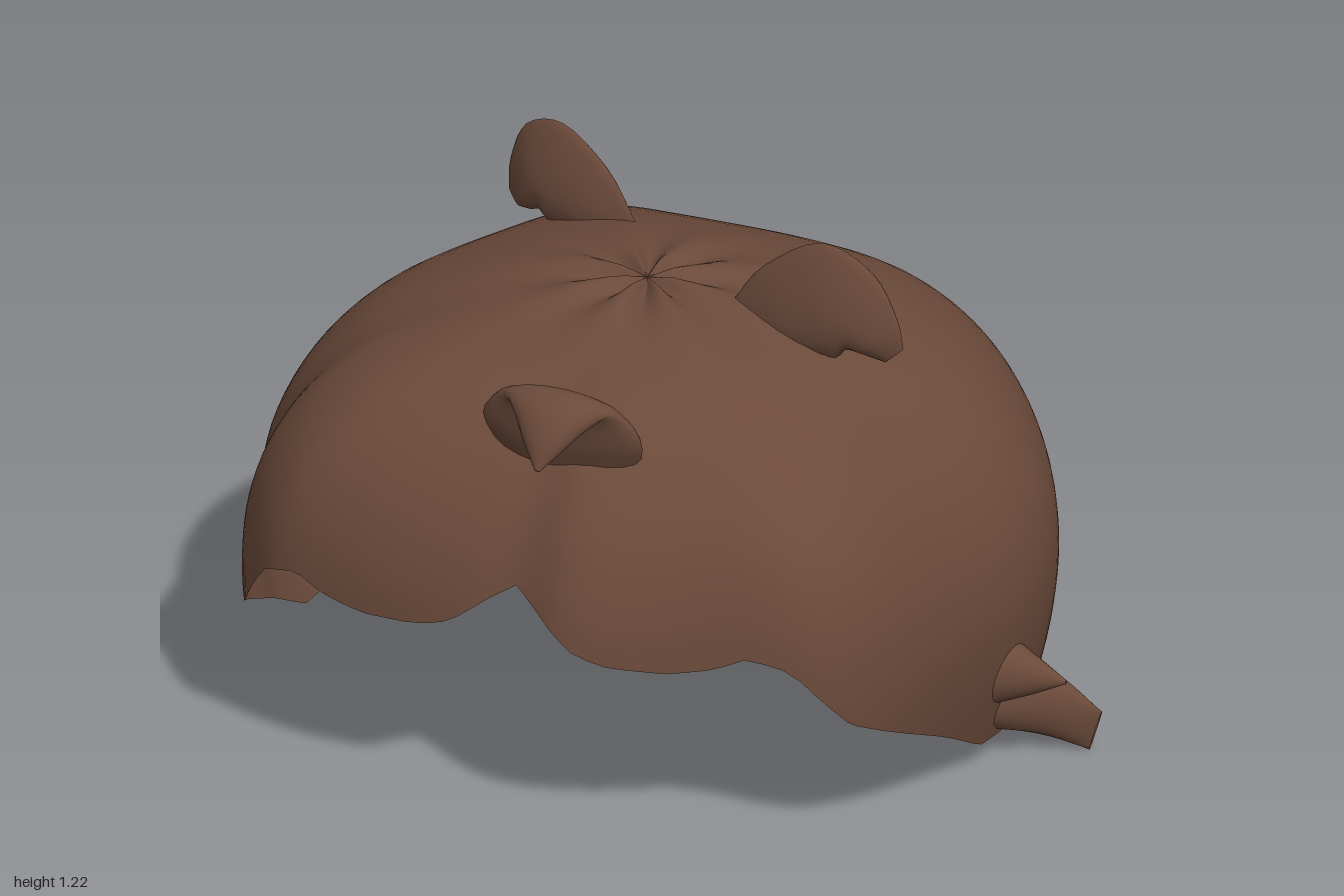
import * as THREE from 'three';

const V = (x, y, z) => new THREE.Vector3(x, y, z);
const CZ = 0.04; // z of the crown

// Plan outline of the cap (x, z), counted round from the front
const OUTLINE = [[0, .765], [.14, .795], [.4, .71], [.65, .61], [.75, .47], [.83, .15], [.865, -.1], [.84, -.27],
  [.72, -.48], [.45, -.72], [.15, -.795], [-.25, -.77], [-.5, -.7], [-.71, -.41], [-.86, -.15], [-.89, 0],
  [-.87, .15], [-.8, .33], [-.76, .5], [-.63, .66], [-.45, .72], [-.15, .76]];

// Crown-to-rim profile: fraction of the plan radius, height
const PROFILE = new THREE.SplineCurve([[0, 1.04], [.22, 1.035], [.45, .985], [.68, .89], [.85, .755], [.96, .59],
  [1, .42], [.98, .24], [.92, .04]].map(p => new THREE.Vector2(...p)));

// Hairline: degrees from the front, height
const RIM = [[0, .61], [5, .57], [12, .5], [18, .475], [28, .465], [35, .48], [40, .51], [46, .48], [50, .41],
  [55, .33], [63, .27], [78, .16], [91, .055], [110, .05], [140, .055], [180, .07]];

function rimHeight(a) {
  const d = Math.abs(a > Math.PI ? a - 2 * Math.PI : a) * 180 / Math.PI;
  const i = Math.max(1, RIM.findIndex(r => r[0] >= d - 1e-6));
  const [d0, y0] = RIM[i - 1], [d1, y1] = RIM[i];
  return THREE.MathUtils.lerp(y0, y1, (d - d0) / (d1 - d0));
}

function profileParam(y) {
  let lo = 0, hi = 1;
  for (let k = 0; k < 24; k++) {
    const m = (lo + hi) / 2;
    if (PROFILE.getPoint(m).y > y) lo = m; else hi = m;
  }
  return lo;
}

// Smooth skin over rows of points, each row a closed ring
function skin(rows) {
  const n = rows[0].length, index = [];
  for (let i = 0; i < rows.length - 1; i++) {
    for (let j = 0; j < n; j++) {
      const a = i * n + j, b = i * n + (j + 1) % n;
      index.push(a, a + n, b, b, a + n, b + n);
    }
  }
  const g = new THREE.BufferGeometry().setFromPoints(rows.flat());
  g.setIndex(index);
  g.computeVertexNormals();
  return g;
}

// Open cap with a soft lobed outline and folds meeting at the crown
function capGeometry() {
  const curve = new THREE.CatmullRomCurve3(OUTLINE.map(([x, z]) => V(x, 0, z - CZ)), true);
  const ring = curve.getPoints(144).slice(0, 144);
  const rows = [];
  const ROWS = 36;
  for (let i = 0; i <= ROWS; i++) {
    rows.push(ring.map(p => {
      const a = (Math.atan2(p.x, p.z) + 2 * Math.PI) % (2 * Math.PI);
      const q = PROFILE.getPoint(Math.max(.002, profileParam(rimHeight(a)) * i / ROWS));
      const fold = .014 * Math.cos(8 * a + .5) * Math.min(1, q.x / .08) * Math.exp(-q.x * q.x * 12);
      const r = p.length();
      // the plan is rounder near the crown, with fuller shoulders on the diagonals
      const shoulder = 1 + .06 * (1 - Math.cos(4 * a)) / 2 * 4 * q.x * q.x * (1 - q.x * q.x);
      const rr = THREE.MathUtils.lerp(.82, r, Math.min(1, q.x * 1.4)) * q.x * shoulder;
      return V(p.x / r * rr, q.y + fold, p.z / r * rr + CZ);
    }));
  }
  return skin(rows);
}

// Tapered tuft: stations of [centre, half-axis a, half-axis b], smoothed along its length;
// edge thins the section towards +a
function tuftGeometry(stations, edge = 0) {
  const [c, a, b] = [0, 1, 2].map(k => new THREE.CatmullRomCurve3(stations.map(s => s[k])));
  const rows = [];
  for (let i = 0; i <= 20; i++) {
    const t = i / 20, C = c.getPoint(t), A = a.getPoint(t), B = b.getPoint(t);
    rows.push(Array.from({ length: 20 }, (_, j) => {
      const v = j / 20 * 2 * Math.PI;
      return C.clone().addScaledVector(A, Math.cos(v)).addScaledVector(B, Math.sin(v) * (1 - edge * Math.cos(v)));
    }));
  }
  return skin(rows);
}

// Thin hooked tuft from outer and inner edges: [outer x, outer y, inner x, inner y, half thickness]
function hookGeometry(edges, zAt, side) {
  return tuftGeometry(edges.map(([ox, oy, ix, iy, h]) => {
    const o = V(ox, oy, zAt(ox)), n = V(ix, iy, zAt(ix));
    return [o.clone().add(n).multiplyScalar(.5), o.clone().sub(n).multiplyScalar(.5), V(0, 0, h * side)];
  }), .5);
}

export function createModel() {
  const group = new THREE.Group();
  const hair = new THREE.MeshStandardMaterial({ color: 0x6b4a3a, side: THREE.DoubleSide });
  hair.name = 'brown hair';
  const add = (name, geometry) => {
    const mesh = new THREE.Mesh(geometry, hair);
    mesh.name = name;
    group.add(mesh);
  };

  add('hairCap', capGeometry());

  // Two curled tufts on top
  add('leftTuft', hookGeometry([[.2, 1.02, .24, .95, .012], [.28, 1.13, .38, .94, .04], [.42, 1.215, .45, .94, .046],
    [.54, 1.165, .48, .97, .043], [.6, 1.06, .51, .97, .032], [.613, .995, .57, .955, .006]], () => .043, 1));
  add('rightTuft', hookGeometry([[-.15, .99, -.2, .95, .012], [-.24, 1.11, -.32, .93, .04], [-.36, 1.175, -.39, .93, .045],
    [-.46, 1.14, -.41, .95, .042], [-.505, 1.04, -.44, .94, .032], [-.51, .965, -.48, .93, .006]],
    x => -.245 + .3 * (x + .15), -1));

  // Wide tuft at the front, folding over to a forward point
  add('frontTuft', tuftGeometry([
    [V(.04, .86, .54), V(.17, 0, 0), V(0, .03, -.045)],
    [V(.04, .93, .575), V(.19, 0, 0), V(0, .03, -.035)],
    [V(.05, 1.015, .62), V(.13, 0, 0), V(0, .03, -.015)],
    [V(.05, .99, .66), V(.085, 0, 0), V(0, .035, .015)],
    [V(.05, .95, .695), V(.05, 0, 0), V(0, .02, .02)],
    [V(.05, .9, .73), V(.006, 0, 0), V(0, .003, .004)]]));

  // Pointed locks flaring from the sides of the hairline
  for (const s of [1, -1]) {
    add(s > 0 ? 'leftLock' : 'rightLock', tuftGeometry([
      [V(s * .8, .14, -.09), V(0, .085, 0), V(0, 0, s * .1)],
      [V(s * .89, .105, -.125), V(s * .01, .073, 0), V(0, 0, s * .05)],
      [V(s * .985, .05, -.15), V(s * .015, .05, 0), V(0, 0, s * .006)]]));
  }
  add('leftUpperLock', tuftGeometry([
    [V(.82, .23, -.02), V(0, .08, 0), V(0, 0, .07)],
    [V(.89, .22, -.035), V(0, .045, 0), V(0, 0, .035)],
    [V(.96, .21, -.05), V(0, .004, 0), V(0, 0, .004)]]));

  return group;
}
